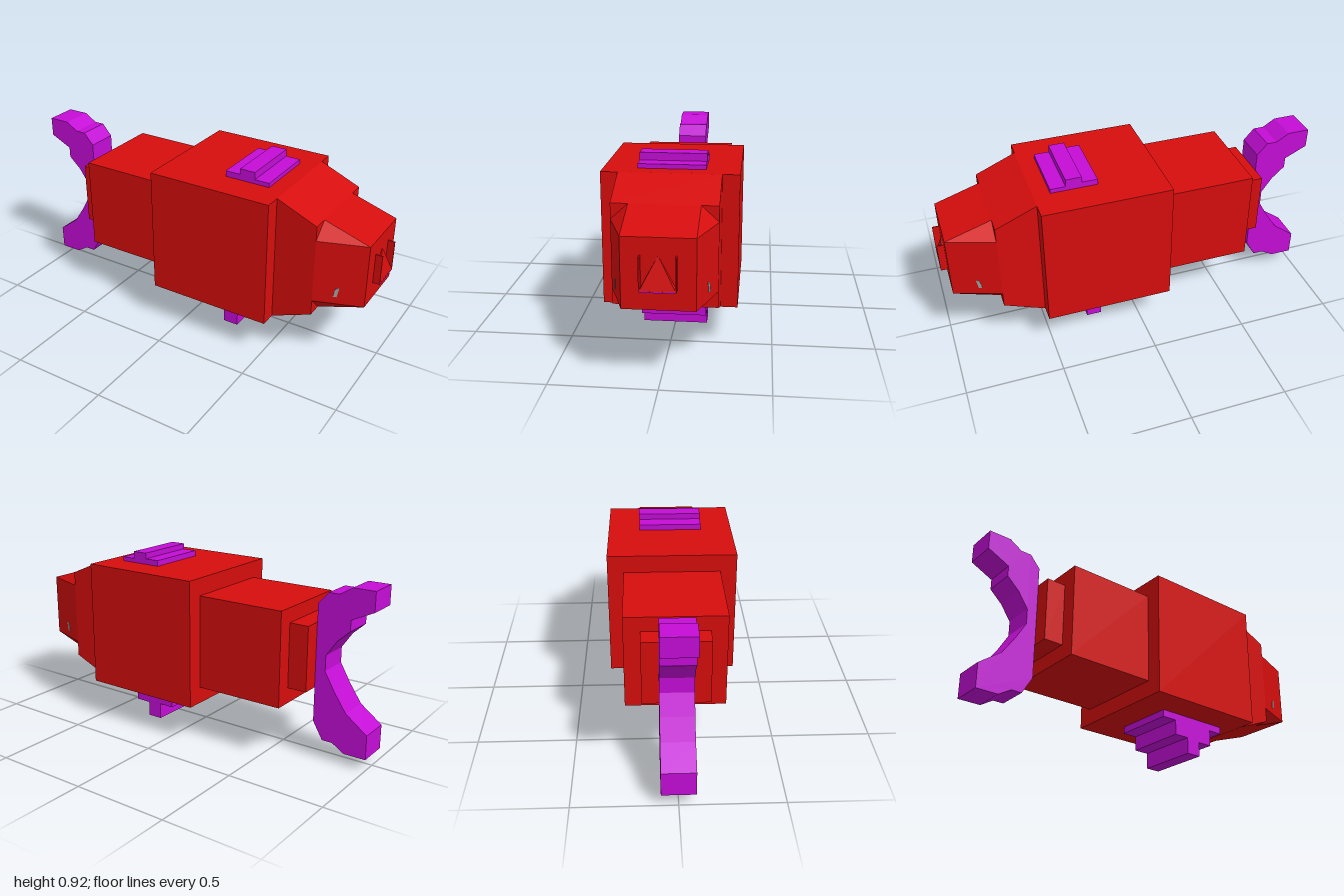
import * as THREE from 'three';
import { ConvexGeometry } from 'three/addons/geometries/ConvexGeometry.js';

const red = new THREE.MeshStandardMaterial({ color: 0xd60d0d });
red.name = 'body red';
const purple = new THREE.MeshStandardMaterial({ color: 0xc40dd6 });
purple.name = 'fin purple';
const grey = new THREE.MeshStandardMaterial({ color: 0xa0a0a0 });
grey.name = 'eye grey';

export function createModel() {
  const group = new THREE.Group();

  const add = (name, geometry, material) => {
    const mesh = new THREE.Mesh(geometry, material);
    mesh.name = name;
    group.add(mesh);
    return mesh;
  };
  // Box given by its x and y ranges and half its depth
  const block = (name, x0, x1, y0, y1, halfZ, material) =>
    add(name, new THREE.BoxGeometry(x1 - x0, y1 - y0, halfZ * 2), material)
      .position.set((x0 + x1) / 2, (y0 + y1) / 2, 0);
  // Four corners of a cross-section at x
  const section = (x, y0, y1, z) => [[y0, -z], [y0, z], [y1, -z], [y1, z]]
    .map(([y, zz]) => new THREE.Vector3(x, y, zz));

  // Stepped body
  block('body', -0.14, 0.52, 0.2, 0.86, 0.328, red);
  block('rearBody', -0.61, -0.14, 0.285, 0.77, 0.245, red);
  block('tailRoot', -0.71, -0.61, 0.365, 0.695, 0.164, red);

  // Neck wedge and chamfered head
  add('neck', new ConvexGeometry([
    ...section(0.52, 0.2, 0.86, 0.245), ...section(0.73, 0.285, 0.77, 0.245)]), red);
  add('head', new ConvexGeometry([
    ...section(0.73, 0.285, 0.77, 0.164), ...section(0.73, 0.365, 0.695, 0.245),
    ...section(0.965, 0.365, 0.695, 0.164)]), red);

  // Mouth: side walls, lower lip and a sloping tongue between them
  for (const s of [1, -1]) {
    const wall = new THREE.BoxGeometry(0.035, 0.155, 0.006);
    add(s > 0 ? 'leftCheek' : 'rightCheek', wall, red).position.set(0.9825, 0.5375, s * 0.079);
  }
  block('lowerLip', 0.965, 1, 0.458, 0.464, 0.08, purple);
  add('tongue', new ConvexGeometry([
    new THREE.Vector3(1, 0.462, 0.08), new THREE.Vector3(1, 0.462, -0.08),
    new THREE.Vector3(0.965, 0.462, 0.08), new THREE.Vector3(0.965, 0.462, -0.08),
    new THREE.Vector3(0.965, 0.615, 0)]), red);

  // Eyes: thin slanted plates lying on the sloping head sides
  for (const s of [1, -1]) {
    const shape = new THREE.Shape([[-0.014, -0.026], [0.004, -0.026], [0.014, 0.026], [-0.004, 0.02]]
      .map(([x, y]) => new THREE.Vector2(x, y)));
    const eye = add(s > 0 ? 'leftEye' : 'rightEye',
      new THREE.ExtrudeGeometry(shape, { depth: 0.004, bevelEnabled: false }), grey);
    eye.position.set(0.835, 0.43, s * 0.209 - 0.002);
    eye.rotation.y = s * Math.atan2(0.081, 0.235);
  }

  // Crescent tail fin
  const tail = new THREE.Shape([
    [-1, 0.06], [-0.885, 0.06], [-0.82, 0.1], [-0.765, 0.1], [-0.712, 0.19],
    [-0.712, 0.79], [-0.765, 0.85], [-0.82, 0.85], [-0.885, 0.89], [-1, 0.89],
    [-1, 0.79], [-0.885, 0.735], [-0.885, 0.68], [-0.82, 0.62], [-0.765, 0.54],
    [-0.765, 0.46], [-0.82, 0.365], [-0.885, 0.27], [-1, 0.185],
  ].map(([x, y]) => new THREE.Vector2(x, y)));
  add('tailFin', new THREE.ExtrudeGeometry(tail, { depth: 0.164, bevelEnabled: false }), purple)
    .position.z = -0.082;

  // Stepped fins above and below the body
  const steppedFin = (name, points) => {
    const shape = new THREE.Shape(points.map(([x, y]) => new THREE.Vector2(x, y)));
    add(name, new THREE.ExtrudeGeometry(shape, { depth: 0.328, bevelEnabled: false }), purple)
      .position.z = -0.164;
  };
  steppedFin('topFin', [
    [0.195, 0.85], [0.435, 0.85], [0.435, 0.882], [0.357, 0.882],
    [0.357, 0.92], [0.275, 0.92], [0.275, 0.89], [0.195, 0.89]]);
  steppedFin('bottomFin', [
    [0.03, 0.21], [0.03, 0.163], [0.112, 0.163], [0.112, 0.085], [0.194, 0.085], [0.194, 0],
    [0.275, 0], [0.275, 0.077], [0.357, 0.077], [0.357, 0.163], [0.437, 0.163], [0.437, 0.21]]);

  return group;
}
